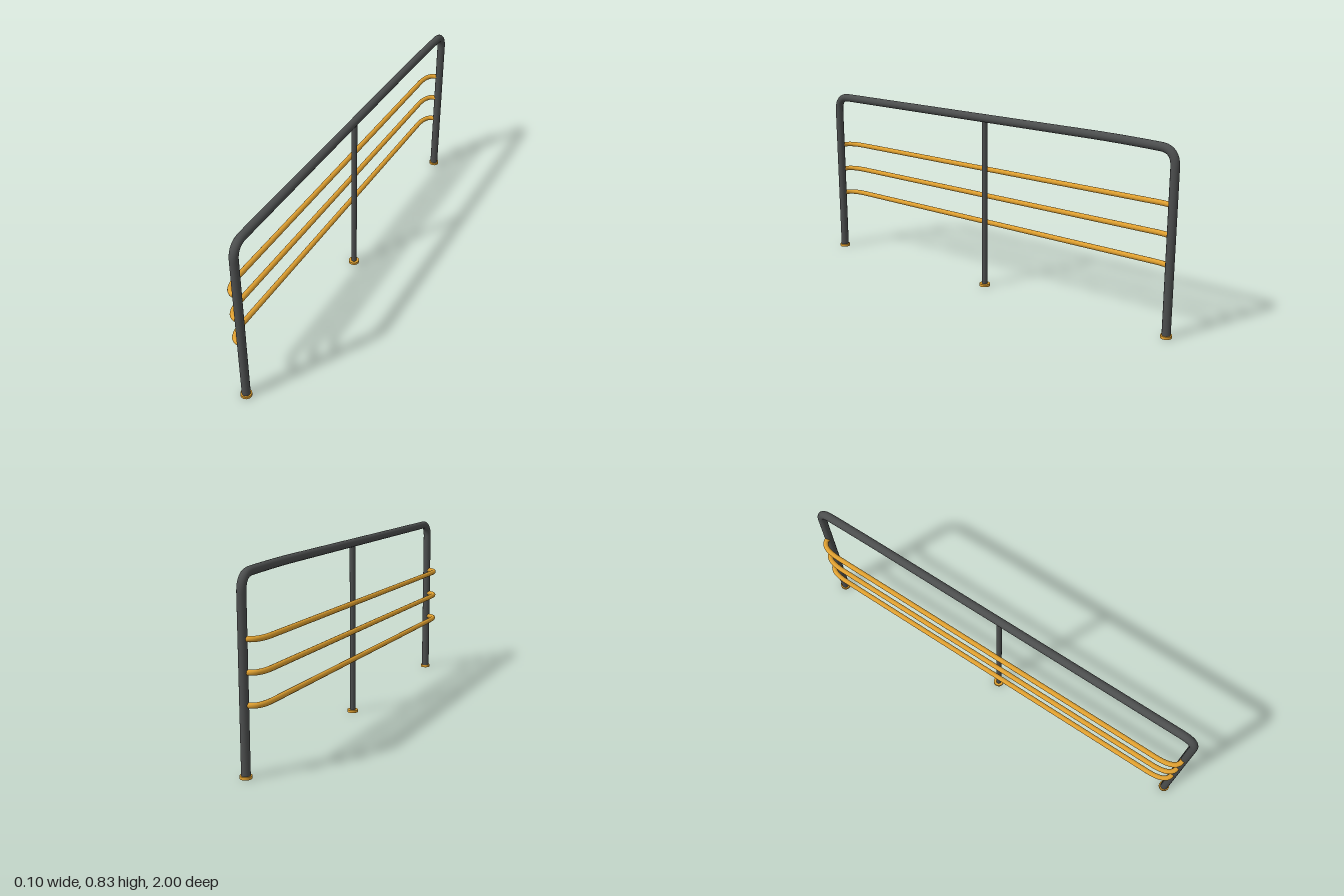
import * as THREE from 'three';

const dark = new THREE.MeshStandardMaterial({ color: 0x4c4e4e });
const gold = new THREE.MeshStandardMaterial({ color: 0xe0a030 });
const POST_X = 0.025, END_Z = 0.975;

const v = (x, y, z) => new THREE.Vector3(x, y, z);

// Chains straight runs and bends: each step is [end] or [control, end]
function makePath(start, steps) {
  const path = new THREE.CurvePath();
  let from = start;
  for (const step of steps) {
    const end = step[step.length - 1];
    path.add(step.length === 1
      ? new THREE.LineCurve3(from, end)
      : new THREE.QuadraticBezierCurve3(from, step[0], end));
    from = end;
  }
  return path;
}

export function createModel() {
  const model = new THREE.Group();
  const add = (name, geometry, material, x = 0, y = 0, z = 0) => {
    const mesh = new THREE.Mesh(geometry, material);
    mesh.name = name;
    mesh.position.set(x, y, z);
    model.add(mesh);
  };

  // Both end posts and the top rail are one bent tube; the rear end dips slightly
  const p = (y, z) => v(POST_X, y, z);
  const frame = makePath(p(0.005, END_Z), [
    [p(0.74, END_Z)],
    [p(0.812, END_Z), p(0.812, 0.905)],
    [p(0.812, -0.6)],
    [p(0.811, -0.76), p(0.805, -0.91)],
    [p(0.802, -END_Z), p(0.73, -END_Z)],
    [p(0.005, -END_Z)],
  ]);
  add('handrailFrame', new THREE.TubeGeometry(frame, 300, 0.019, 16), dark);

  // Thin middle post
  add('middlePost', new THREE.CylinderGeometry(0.013, 0.013, 0.8, 16), dark, POST_X, 0.405, 0);

  // Foot flanges
  for (const z of [-END_Z, 0, END_Z]) {
    add('footFlange', new THREE.CylinderGeometry(0.025, 0.025, 0.012, 24), gold, POST_X, 0.006, z);
  }

  // Three side rails, offset from the posts and curving back into them
  const z = 0.971, x = -0.04;
  const rail = makePath(v(POST_X, 0, z), [
    [v(0.012, 0, z)],
    [v(x, 0, z), v(x, 0, 0.865)],
    [v(x, 0, -0.865)],
    [v(x, 0, -z), v(0.012, 0, -z)],
    [v(POST_X, 0, -z)],
  ]);
  const railGeometry = new THREE.TubeGeometry(rail, 220, 0.012, 12);
  for (const y of [0.295, 0.425, 0.555]) add('sideRail', railGeometry, gold, 0, y, 0);

  return model;
}
